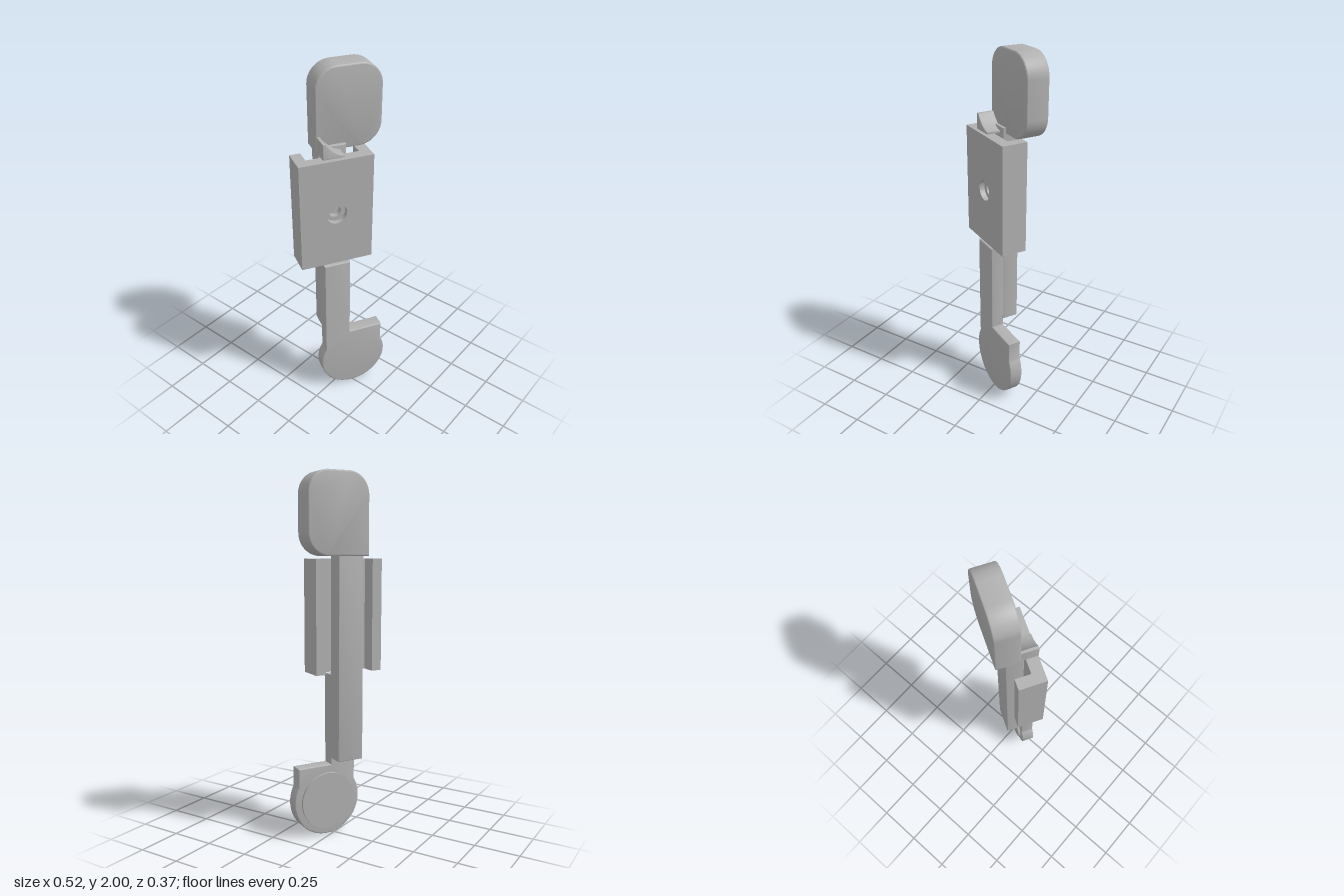
import * as THREE from 'three';
import { toCreasedNormals } from 'three/addons/utils/BufferGeometryUtils.js';

const grey = new THREE.MeshStandardMaterial({ color: 0xb0b0b0 });
grey.name = 'plain grey';

export function createModel() {
  const group = new THREE.Group();
  group.name = 'latchLever';
  // the whole lever is turned about its upright axis
  group.rotation.y = -Math.PI / 6;

  const add = (name, geometry) => {
    const mesh = new THREE.Mesh(geometry, grey);
    mesh.name = name;
    group.add(mesh);
    return mesh;
  };

  // extrude an outline from depth z0 to z1, with softened rims
  const slab = (name, shape, z0, z1, bevel = 0) => {
    const g = new THREE.ExtrudeGeometry(shape, {
      depth: z1 - z0 - 2 * bevel, curveSegments: 32, bevelEnabled: bevel > 0,
      bevelSize: bevel, bevelThickness: bevel, bevelOffset: -bevel, bevelSegments: 3,
    });
    g.translate(0, 0, z0 + bevel);
    return add(name, toCreasedNormals(g, 0.6));
  };

  const box = (name, x0, x1, y0, y1, z0, z1) => {
    const g = new THREE.BoxGeometry(x1 - x0, y1 - y0, z1 - z0);
    g.translate((x0 + x1) / 2, (y0 + y1) / 2, (z0 + z1) / 2);
    return add(name, g);
  };

  const rect = (x0, x1, y0, y1) => new THREE.Shape([
    new THREE.Vector2(x0, y0), new THREE.Vector2(x1, y0),
    new THREE.Vector2(x1, y1), new THREE.Vector2(x0, y1),
  ]);

  // round foot with a squared shoulder, running up into the front stem
  const foot = new THREE.Shape();
  foot.moveTo(0.02, 0.92);
  foot.lineTo(-0.13, 0.92);
  foot.lineTo(-0.13, 0.303);
  foot.absarc(0.043, 0.203, 0.2, Math.PI * 5 / 6, Math.PI * 2 + 0.484, false);
  foot.lineTo(0.22, 0.407);
  foot.lineTo(0.02, 0.407);
  slab('footAndStem', foot, 0, 0.075, 0.006);

  // raised disc on the back of the foot
  const disc = new THREE.CylinderGeometry(0.16, 0.16, 0.03, 64);
  disc.rotateX(Math.PI / 2);
  disc.translate(0.043, 0.203, 0.002);
  add('footDisc', disc);

  // long bar at the back
  slab('backBar', rect(-0.13, 0.02, 0.445, 1.6), -0.092, 0.002, 0.004);

  // paddle: three rounded corners, square where the bar joins
  const [l, r, b, t, c] = [-0.135, 0.221, 1.567, 2, 0.12];
  const paddle = new THREE.Shape();
  paddle.moveTo(l, b);
  paddle.lineTo(r - c, b);
  paddle.absarc(r - c, b + c, c, -Math.PI / 2, 0, false);
  paddle.absarc(r - c, t - c, c, 0, Math.PI / 2, false);
  paddle.absarc(l + c, t - c, c, Math.PI / 2, Math.PI, false);
  paddle.lineTo(l, b);
  slab('paddle', paddle, -0.142, -0.015, 0.008);

  // hooked lip in front of the paddle, with a hollow slope
  const lip = new THREE.Shape();
  lip.moveTo(-0.13, 1.567);
  lip.lineTo(-0.015, 1.567);
  lip.lineTo(-0.015, 1.577);
  lip.quadraticCurveTo(-0.075, 1.59, -0.115, 1.652);
  lip.lineTo(-0.13, 1.652);
  slab('lip', lip, -0.03, 0.075, 0.003);

  // sliding channel: plate with a counterbored hole and two back flanges
  const [x0, x1, y0, y1] = [-0.258, 0.144, 0.935, 1.552];
  [[0.012, 0.044, 0.032], [0.044, 0.074, 0.056]].forEach(([z0, z1, radius], i) => {
    const plate = rect(x0, x1, y0, y1);
    const hole = new THREE.Path();
    hole.absarc(-0.057, 1.243, radius, 0, Math.PI * 2, true);
    plate.holes.push(hole);
    slab(i ? 'channelPlateFront' : 'channelPlateBack', plate, z0, z1);
  });
  box('rightFlange', x0, x0 + 0.058, y0, y1, -0.07, 0.012);
  box('leftFlange', x1 - 0.058, x1, y0, y1, -0.07, 0.012);

  return group;
}
